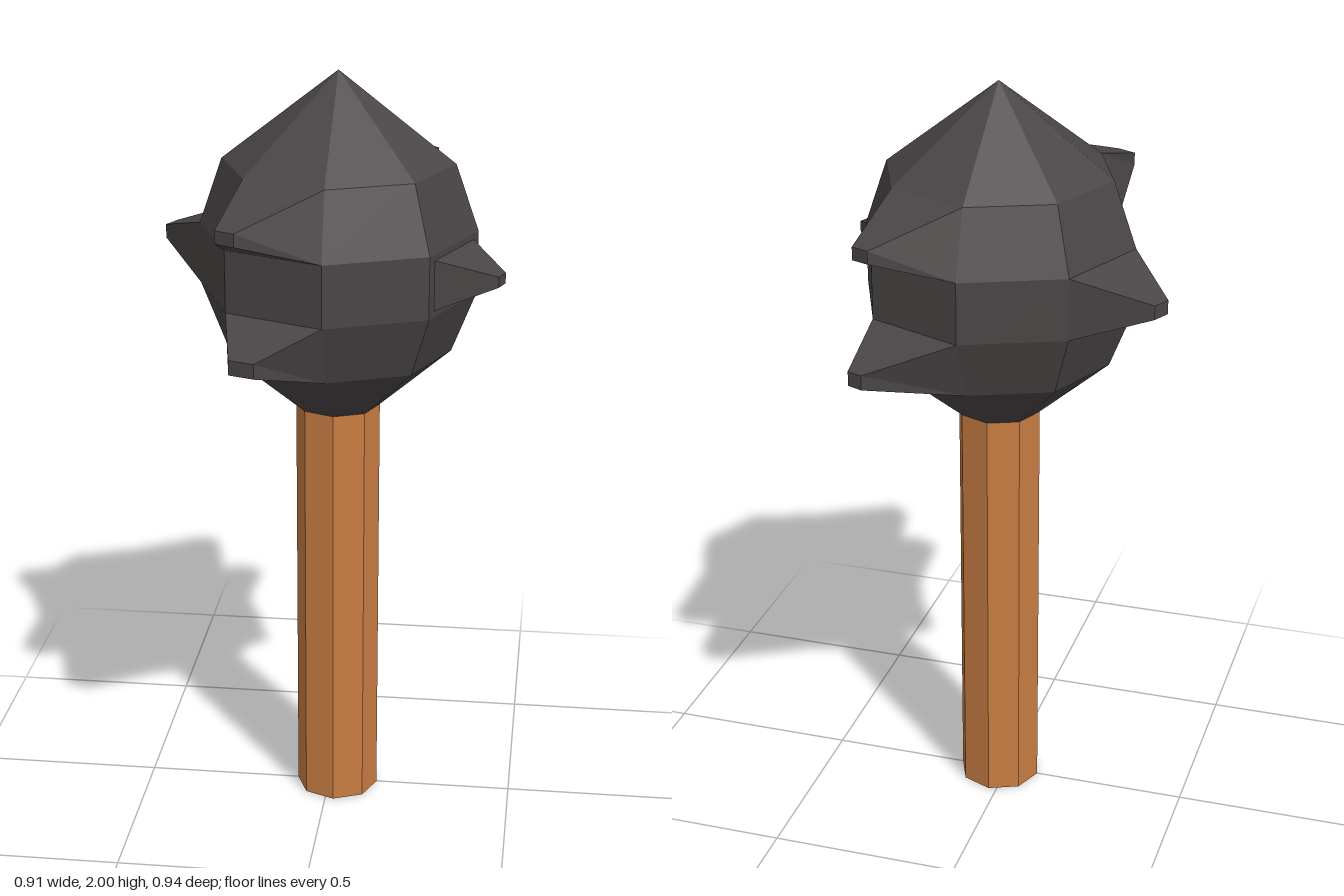
import * as THREE from 'three';

const CX = 0.022; // axis of handle and head
const SIDES = 8;

// Head rings, bottom to top: [height, radius]
const RINGS = [[1.125, 0.11], [1.28, 0.293], [1.44, 0.356], [1.6, 0.356], [1.77, 0.297]];
const APEX = new THREE.Vector3(CX, 2, 0);

// Spikes: panel side, band, base inset, tip heights, and the tip's two [x, z] ends
const SPIKES = [
  { name: 'frontUpperSpike', side: 7, band: 3, inset: 0, y: [1.67, 1.703], tip: [[-0.22, 0.445], [-0.17, 0.47]] },
  { name: 'frontLowerSpike', side: 7, band: 1, inset: 0, y: [1.34, 1.378], tip: [[-0.195, 0.43], [-0.13, 0.453]] },
  { name: 'backUpperSpike', side: 3, band: 3, inset: 0, y: [1.67, 1.703], tip: [[0.245, -0.455], [0.2, -0.473]] },
  { name: 'backLowerSpike', side: 3, band: 1, inset: 0, y: [1.34, 1.378], tip: [[0.27, -0.445], [0.23, -0.462]] },
  { name: 'rightSpike', side: 5, band: 2, inset: 0, y: [1.507, 1.543], tip: [[-0.435, -0.222], [-0.457, -0.175]] },
  { name: 'leftSpike', side: 1, band: 2, inset: 0.2, y: [1.513, 1.54], tip: [[0.44, 0.2], [0.455, 0.16]] },
];

function ringPoint(ring, i) {
  const [y, r] = RINGS[ring];
  const a = (i % SIDES) * Math.PI * 2 / SIDES;
  return new THREE.Vector3(CX + r * Math.sin(a), y, r * Math.cos(a));
}

// Corners of one head panel, counter-clockwise from outside
function panel(side, band) {
  return [ringPoint(band, side), ringPoint(band, side + 1), ringPoint(band + 1, side + 1), ringPoint(band + 1, side)];
}

// Mesh from a list of triangles and quads
function meshFromFaces(name, faces, material) {
  const points = faces.flatMap(([a, b, c, d]) => (d ? [a, b, c, a, c, d] : [a, b, c]));
  const geometry = new THREE.BufferGeometry().setFromPoints(points);
  geometry.computeVertexNormals();
  const mesh = new THREE.Mesh(geometry, material);
  mesh.name = name;
  return mesh;
}

function makeHead(material) {
  const faces = [];
  for (let side = 0; side < SIDES; side++) {
    for (let band = 0; band < RINGS.length - 1; band++) {
      // Panels that a spike grows from are left open
      const open = SPIKES.some((s) => s.side === side && s.band === band && s.inset === 0);
      if (!open) faces.push(panel(side, band));
    }
    const top = RINGS.length - 1;
    faces.push([ringPoint(top, side), ringPoint(top, side + 1), APEX]);
  }
  return meshFromFaces('head', faces, material);
}

// Tapered spike from a head panel to a small blunt tip
function makeSpike({ name, side, band, inset, y, tip }, material) {
  const corners = panel(side, band);
  const center = corners.reduce((sum, p) => sum.add(p), new THREE.Vector3()).multiplyScalar(0.25);
  const base = corners.map((p) => p.clone().lerp(center, inset));
  const end = [[0, 0], [1, 0], [1, 1], [0, 1]].map(([t, h]) => new THREE.Vector3(tip[t][0], y[h], tip[t][1]));
  const faces = [end];
  for (let i = 0; i < 4; i++) {
    const j = (i + 1) % 4;
    faces.push([base[i], base[j], end[j], end[i]]);
  }
  return meshFromFaces(name, faces, material);
}

export function createModel() {
  const model = new THREE.Group();
  model.name = 'spikedMace';
  const iron = new THREE.MeshStandardMaterial({ color: 0x4a4546, flatShading: true });
  const wood = new THREE.MeshStandardMaterial({ color: 0xc87d42, flatShading: true });

  // Octagonal wooden handle
  const height = RINGS[0][0];
  const handle = new THREE.Mesh(new THREE.CylinderGeometry(0.11, 0.11, height, SIDES), wood);
  handle.name = 'handle';
  handle.position.set(CX, height / 2, 0);
  model.add(handle);

  // Faceted head with its spikes
  model.add(makeHead(iron));
  for (const spike of SPIKES) model.add(makeSpike(spike, iron));
  return model;
}
